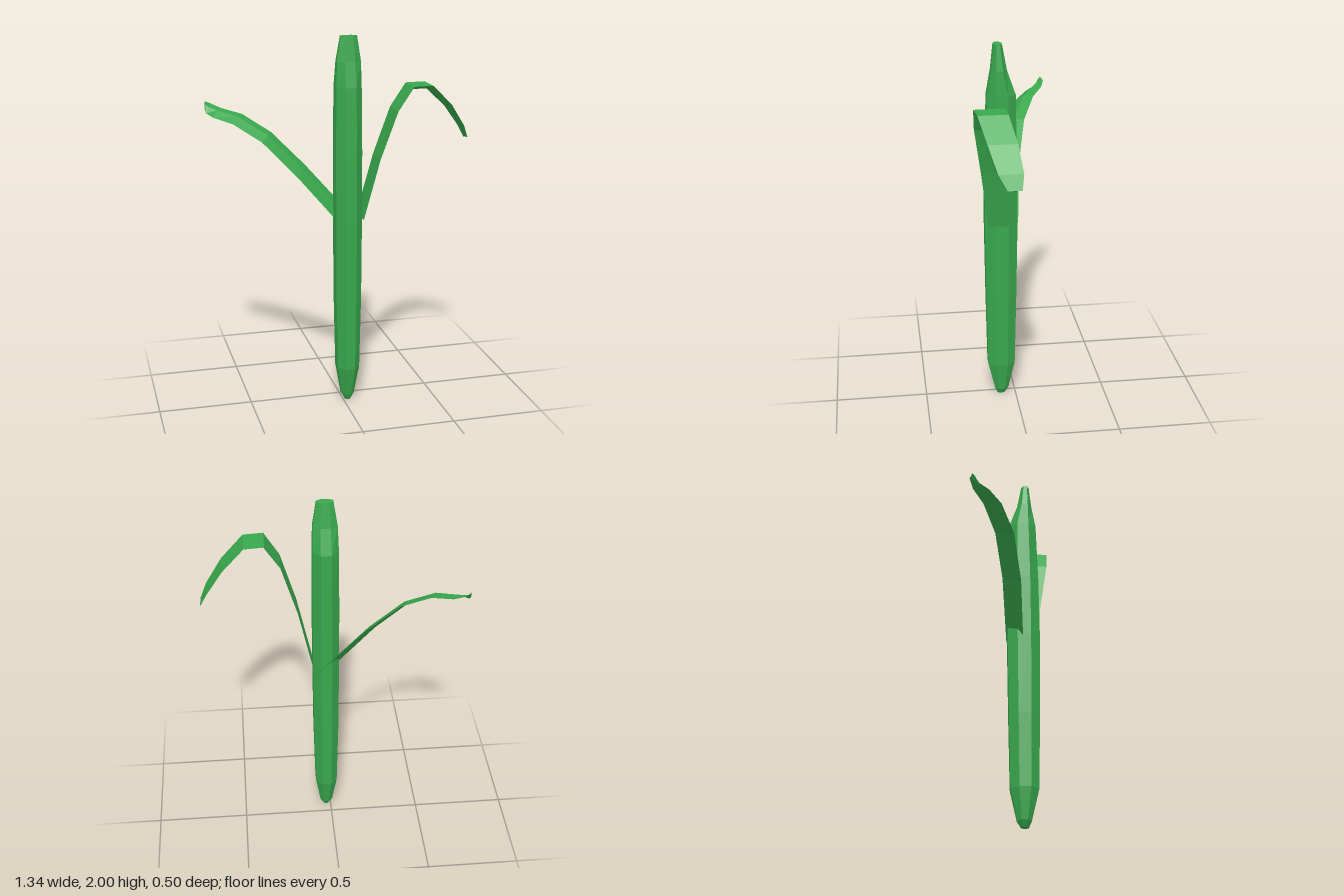
import * as THREE from 'three';

const green = new THREE.MeshStandardMaterial({ color: 0x38a84d, flatShading: true, side: THREE.DoubleSide });
green.name = 'leafGreen';

// Eight-sided stalk: a cylinder whose rows are fitted to a profile.
function makeStem() {
  // y, half width, back z, front z
  const rows = [
    [0.0, 0.015, 0.06, 0.1], [0.035, 0.034, 0.04, 0.115], [0.2, 0.06, 0.005, 0.153],
    [0.6, 0.068, -0.003, 0.16], [1.05, 0.07, -0.01, 0.165], [1.4, 0.07, -0.006, 0.16],
    [1.74, 0.067, 0.0, 0.148], [1.87, 0.063, 0.045, 0.125], [2.0, 0.043, 0.068, 0.112],
  ];
  const last = rows.length - 1;
  const g = new THREE.CylinderGeometry(1, 1, last, 8, last, false, Math.PI / 8);
  const p = g.attributes.position;
  const k = 1 / Math.cos(Math.PI / 8);
  for (let i = 0; i < p.count; i++) {
    const [y, w, back, front] = rows[Math.round(p.getY(i) + last / 2)];
    p.setXYZ(i, 0.025 + p.getX(i) * k * w, y, (back + front) / 2 + p.getZ(i) * k * (front - back) / 2);
  }
  g.computeVertexNormals();
  return g;
}

// Thin leaf: back edge, front edge and a midrib pushed off the blade.
// Each row is [back x, y, z, front x, y, z, rib offset]; positive offset is above.
function makeLeaf(rows) {
  const edges = rows.map(r => [new THREE.Vector3(r[0], r[1], r[2]), new THREE.Vector3(r[3], r[4], r[5])]);
  const mids = edges.map(([a, b]) => a.clone().add(b).multiplyScalar(0.5));
  const pos = [], index = [];
  rows.forEach((r, i) => {
    const along = mids[Math.min(i + 1, rows.length - 1)].clone().sub(mids[Math.max(i - 1, 0)]);
    const normal = edges[i][1].clone().sub(edges[i][0]).cross(along).normalize();
    if (normal.y < 0) normal.negate();
    const rib = mids[i].clone().addScaledVector(normal, r[6]);
    pos.push(...edges[i][0].toArray(), ...rib.toArray(), ...edges[i][1].toArray());
  });
  for (let i = 0; i < rows.length - 1; i++) {
    for (let j = 0; j < 3; j++) {
      const a = i * 3 + j, b = i * 3 + (j + 1) % 3;
      index.push(a, b, b + 3, a, b + 3, a + 3);
    }
  }
  const e = (rows.length - 1) * 3;
  index.push(0, 2, 1, e, e + 1, e + 2); // end caps
  // orient the shell outwards: the winding flips with side of growth and rib
  const flip = (rows[rows.length - 1][0] > rows[0][0]) !== (rows[3][6] < 0);
  if (flip) for (let i = 0; i < index.length; i += 3) [index[i], index[i + 1]] = [index[i + 1], index[i]];
  const g = new THREE.BufferGeometry();
  g.setAttribute('position', new THREE.Float32BufferAttribute(pos, 3));
  g.setIndex(index);
  const flat = g.toNonIndexed();
  flat.computeVertexNormals();
  return flat;
}

export function createModel() {
  const group = new THREE.Group();
  group.name = 'plant';
  const add = (name, geometry) => {
    const mesh = new THREE.Mesh(geometry, green);
    mesh.name = name;
    group.add(mesh);
  };

  add('stem', makeStem());

  // arching leaf that bends over and droops
  add('leftLeaf', makeLeaf([
    [0.095, 1.04, 0.0, 0.095, 1.04, 0.15, -0.004],
    [0.17, 1.37, 0.05, 0.17, 1.37, 0.195, -0.006],
    [0.25, 1.625, 0.085, 0.25, 1.625, 0.235, -0.012],
    [0.33, 1.75, 0.095, 0.33, 1.75, 0.245, -0.028],
    [0.435, 1.75, 0.085, 0.435, 1.75, 0.235, -0.028],
    [0.55, 1.64, 0.055, 0.55, 1.64, 0.2, -0.022],
    [0.635, 1.52, 0.038, 0.635, 1.52, 0.16, -0.016],
    [0.67, 1.45, 0.05, 0.67, 1.45, 0.12, -0.01],
  ]));

  // rising leaf that levels out towards the tip
  add('rightLeaf', makeLeaf([
    [0.06, 1.04, -0.012, -0.045, 1.04, 0.07, 0.012],
    [-0.175, 1.31, -0.05, -0.235, 1.265, 0.045, 0.015],
    [-0.345, 1.485, -0.1, -0.41, 1.45, -0.005, 0.015],
    [-0.485, 1.575, -0.17, -0.55, 1.54, -0.08, 0.015],
    [-0.585, 1.6, -0.23, -0.64, 1.565, -0.15, 0.015],
    [-0.64, 1.625, -0.25, -0.67, 1.58, -0.2, 0.012],
    [-0.67, 1.638, -0.236, -0.674, 1.6, -0.215, 0.004],
  ]));
  return group;
}
